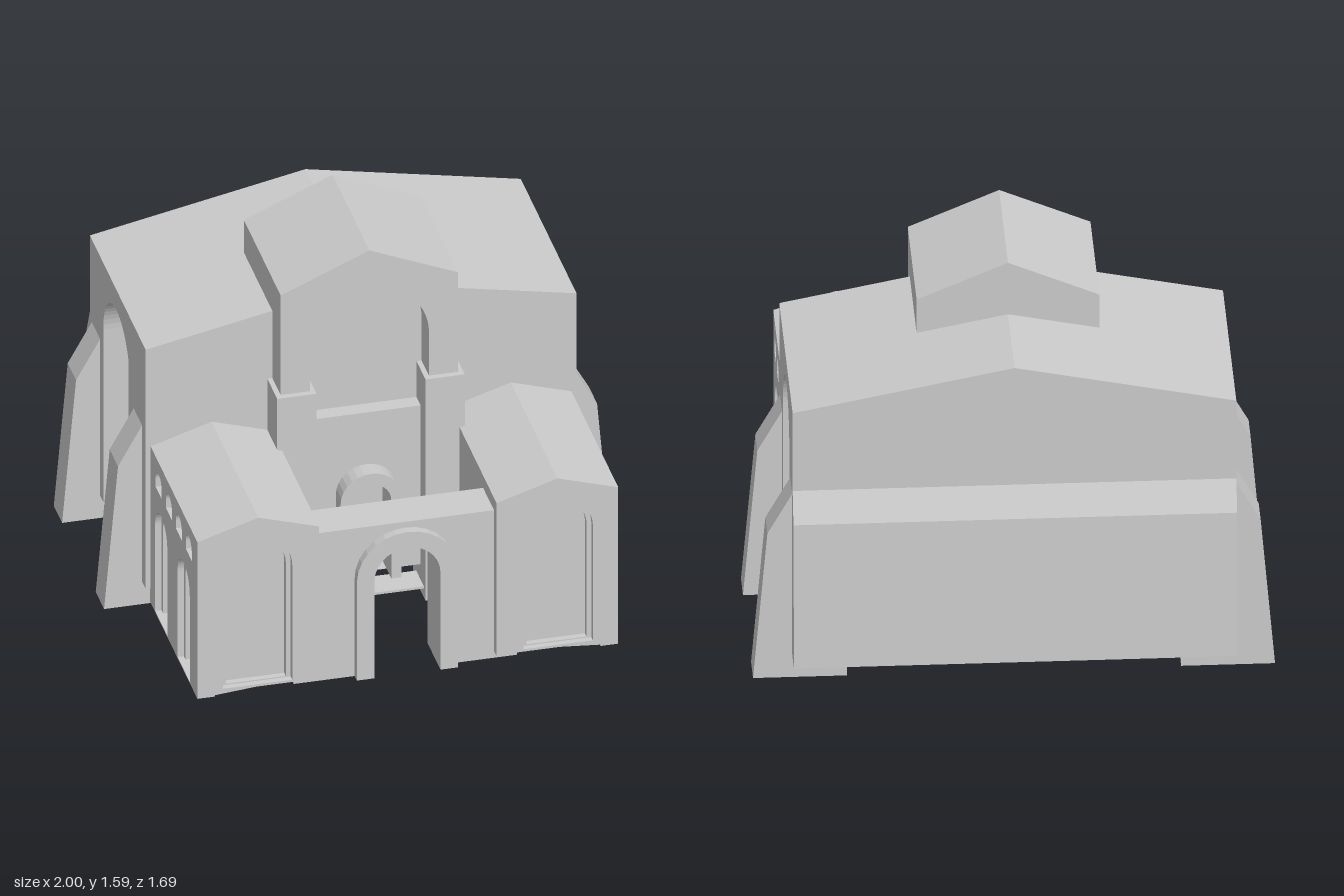
import * as THREE from 'three';

const material = new THREE.MeshStandardMaterial({ color: 0xcccccc, side: THREE.DoubleSide });

const poly = (pts) => new THREE.Shape(pts.map(([x, y]) => new THREE.Vector2(x, y)));

// Round-headed outline: centre, half width, foot and crown heights
function arch(c, half, foot, crown) {
  const s = new THREE.Shape();
  s.moveTo(c - half, foot);
  s.lineTo(c + half, foot);
  s.lineTo(c + half, crown - half);
  s.absarc(c, crown - half, half, 0, Math.PI, false);
  s.lineTo(c - half, foot);
  return s;
}

// Outline running around an open doorway that reaches the ground
function portal(outer, half, foot, crown) {
  const pts = [...outer, [-half, foot]];
  for (let i = 0; i <= 14; i++) {
    const a = Math.PI * (1 - i / 14);
    pts.push([half * Math.cos(a), crown - half + half * Math.sin(a)]);
  }
  pts.push([half, foot]);
  return poly(pts);
}

// Slab spanning local z0..z1
function slab(name, parent, shape, z0, z1, holes = []) {
  const s = shape.clone();
  s.holes = holes;
  const g = new THREE.ExtrudeGeometry(s, { depth: z1 - z0, bevelEnabled: false, curveSegments: 14 });
  g.translate(0, 0, z0);
  const m = new THREE.Mesh(g, material);
  m.name = name;
  parent.add(m);
  return m;
}

// Wall with openings that step inward, closed at the back
function steppedWall(name, parent, outline, face, steps) {
  const wall = new THREE.Group();
  wall.name = name;
  let z = face;
  for (const [depth, holes] of steps) {
    slab(name + 'Layer', wall, outline, z - depth, z, holes);
    z -= depth;
  }
  slab(name + 'Backing', wall, outline, z - 0.02, z);
  parent.add(wall);
  return wall;
}

function box(name, parent, x0, x1, y0, y1, z0, z1) {
  const m = new THREE.Mesh(new THREE.BoxGeometry(Math.abs(x1 - x0), y1 - y0, z1 - z0), material);
  m.position.set((x0 + x1) / 2, (y0 + y1) / 2, (z0 + z1) / 2);
  m.name = name;
  parent.add(m);
}

function buildHall(root) {
  const hall = new THREE.Group();
  hall.name = 'hall';
  root.add(hall);

  slab('hallRoof', hall, poly([[-0.85, 1.19], [0.85, 1.19], [0, 1.36]]), -0.76, 0.11);
  slab('hallFrontWall', hall, poly([[-0.85, 0.12], [0.85, 0.12], [0.85, 1.19], [-0.85, 1.19]]), 0.07, 0.11);

  // Rear wall with a battered lower half, swept across the width
  const back = poly([[0.845, 0.12], [0.815, 0.73], [0.76, 0.85], [0.76, 1.19], [0.72, 1.19], [0.72, 0.85], [0.81, 0.12]]);
  slab('hallBackWall', hall, back, -0.85, 0.85).rotation.y = Math.PI / 2;

  for (const s of [1, -1]) {
    // Side walls: a tall blind arch holding four windows
    const outline = poly([[-0.11, 0.12], [0.845, 0.12], [0.815, 0.73], [0.76, 0.85], [0.76, 1.19], [-0.11, 1.19]]
      .map(([u, y]) => [s * u, y]));
    const windows = [];
    for (const u of [0.255, 0.41]) for (const y of [0.53, 0.785]) windows.push(arch(s * u, 0.053, y, y + 0.115));
    steppedWall('hallSideWall', hall, outline, 0.85, [
      [0.1, [arch(s * 0.343, 0.208, 0.121, 1.1)]],
      [0.03, windows],
    ]).rotation.y = s * Math.PI / 2;

    // Sloping buttresses
    const profile = poly([[0.64, 0.02], [1, 0.02], [0.945, 0.65], [0.85, 0.82], [0.64, 0.82]].map(([x, y]) => [s * x, y]));
    for (const z of [-0.73, -0.075]) slab('buttress', hall, profile, z, z + 0.13);
  }
}

function buildCentralBay(root) {
  const bay = new THREE.Group();
  bay.name = 'centralBay';
  root.add(bay);

  const gable = (y) => poly([[-0.35, y], [0.35, y], [0.35, 1.435], [0, 1.585], [-0.35, 1.435]]);
  slab('bayUpperBlock', bay, gable(1.15), -0.335, 0.12);
  slab('bayFront', bay, gable(0.04), 0.12, 0.24, [arch(0, 0.235, 0.05, 1.42)]);
  slab('nicheBack', bay, gable(0.12), 0.1, 0.125);

  // Lower wall forming the ledge, with the doorway
  slab('doorWall', bay, poly([[-0.25, 0.12], [0.25, 0.12], [0.25, 0.83], [-0.25, 0.83]]), 0.12, 0.19,
    [arch(0, 0.08, 0.121, 0.55)]);
  slab('doorSurround', bay, portal([[0.12, 0.12], ...archTop(0.12, 0.6), [-0.12, 0.12]], 0.08, 0.12, 0.55), 0.15, 0.265);

  for (const s of [1, -1]) box('bayPier', bay, s * 0.215, s * 0.37, 0, 0.99, 0.07, 0.265);
}

// Points over a round head, from right to left
function archTop(half, crown) {
  return Array.from({ length: 15 }, (_, i) => {
    const a = Math.PI * i / 14;
    return [half * Math.cos(a), crown - half + half * Math.sin(a)];
  });
}

function buildWing(root, s) {
  const wing = new THREE.Group();
  wing.name = s > 0 ? 'leftWing' : 'rightWing';
  root.add(wing);
  const flip = (pts) => poly(pts.map(([x, y]) => [s * x, y]));

  slab('wingRoof', wing, flip([[0.35, 0.755], [0.83, 0.755], [0.59, 0.83]]), 0.1, 0.84);

  // Front with a double-stepped blind arch
  const front = flip([[0.35, 0.075], [0.6, 0.075], [0.83, 0.055], [0.83, 0.755], [0.59, 0.83], [0.35, 0.755]]);
  steppedWall('wingFront', wing, front, 0.84, [
    [0.025, [arch(s * 0.593, 0.137, 0.085, 0.735)]],
    [0.025, [arch(s * 0.593, 0.118, 0.09, 0.715)]],
  ]);

  // Outer side with two blind arches and a row of small windows
  const side = flip([[-0.84, 0.055], [-0.1, 0.055], [-0.1, 0.755], [-0.84, 0.755]]);
  const arches = (half, crown) => [-0.625, -0.275].map((u) => arch(s * u, half, 0.06, crown));
  const windows = [-0.705, -0.55, -0.395, -0.235].map((u) => arch(s * u, 0.047, 0.62, 0.703));
  steppedWall('wingOuterWall', wing, side, 0.83, [
    [0.025, [...arches(0.095, 0.54), ...windows]],
    [0.025, arches(0.07, 0.512)],
  ]).rotation.y = s * Math.PI / 2;

  box('wingInnerWall', wing, s * 0.35, s * 0.39, 0.07, 0.755, 0.1, 0.84);
}

function buildGate(root) {
  const gate = new THREE.Group();
  gate.name = 'gate';
  root.add(gate);
  slab('gateWall', gate, portal([[0.44, 0.04], [0.44, 0.7], [-0.44, 0.7], [-0.44, 0.04]], 0.13, 0.04, 0.605), 0.63, 0.8);
  slab('gateSurround', gate, portal([[0.2, 0.04], ...archTop(0.2, 0.675), [-0.2, 0.04]], 0.13, 0.04, 0.605), 0.79, 0.835);
}

export function createModel() {
  const root = new THREE.Group();
  root.name = 'basilica';
  buildHall(root);
  buildCentralBay(root);
  for (const s of [1, -1]) buildWing(root, s);
  buildGate(root);
  return root;
}
